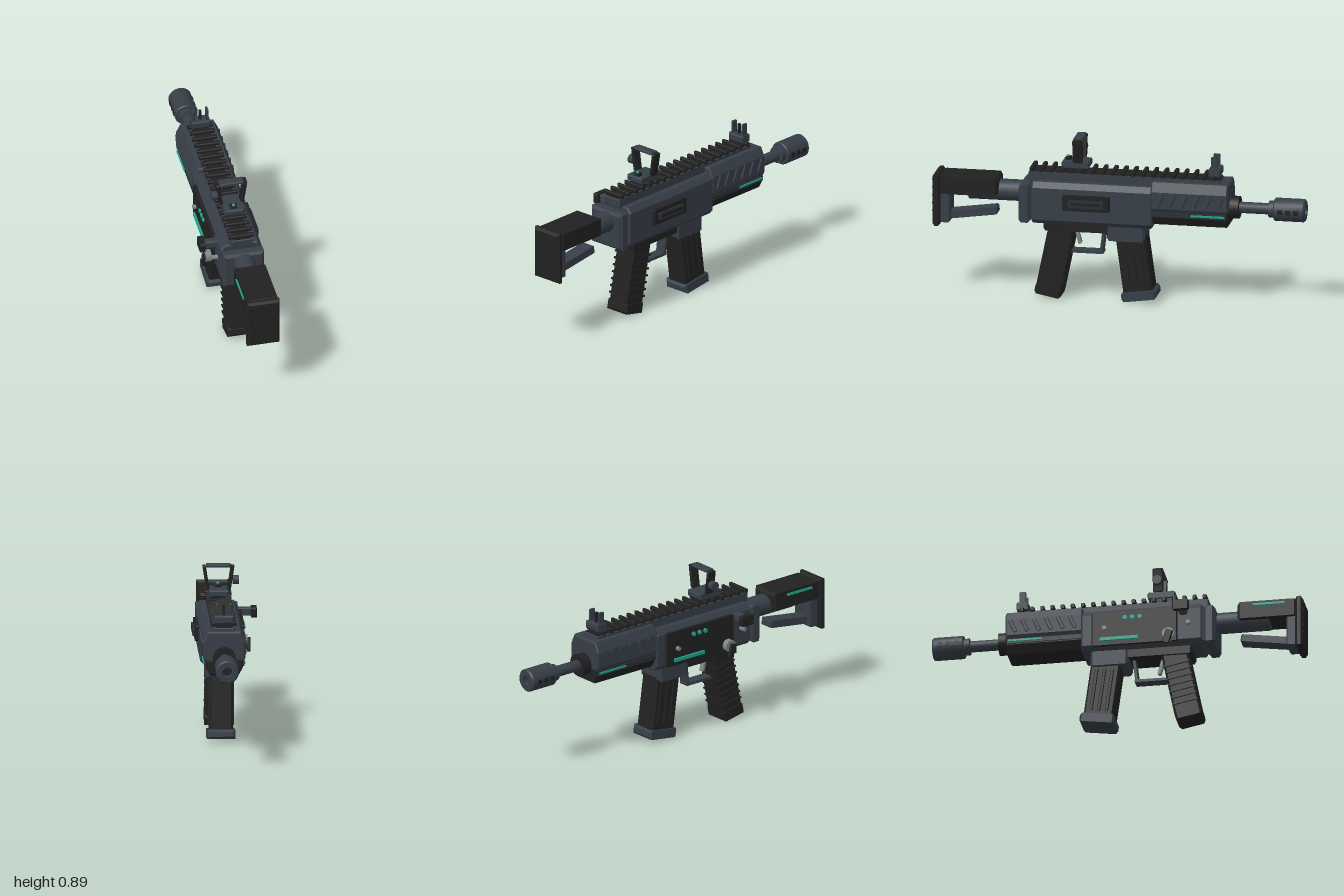
import * as THREE from 'three';
import { toCreasedNormals } from 'three/addons/utils/BufferGeometryUtils.js';

const paint = (name, color) => Object.assign(new THREE.MeshStandardMaterial({ color }), { name });

export function createModel() {
  const steel = paint('gunmetal', 0x373e47);
  const black = paint('black polymer', 0x212121);
  const dark = paint('dark steel', 0x2a3037);
  const silver = paint('light metal', 0x7c8686);
  const teal = paint('teal glow', 0x1fa58c);

  const model = new THREE.Group();
  model.name = 'rifle';
  const body = new THREE.Group();
  body.name = 'rifleBody';
  body.position.x = 0.033;
  model.add(body);

  const add = (name, geo, mat, x = 0, y = 0, z = 0, parent = body) => {
    const m = new THREE.Mesh(geo, mat);
    m.name = name;
    m.position.set(x, y, z);
    parent.add(m);
    return m;
  };
  // Outline in x and y, swept along z with chamfered ends
  const prism = (pts, z0, z1, b = 0.008) => {
    const shape = new THREE.Shape(pts.map(([x, y]) => new THREE.Vector2(x, y)));
    const g = new THREE.ExtrudeGeometry(shape, {
      depth: z1 - z0 - 2 * b, bevelEnabled: b > 0, bevelSize: b, bevelOffset: -b, bevelThickness: b, bevelSegments: 1,
    });
    return g.translate(0, 0, z0 + b);
  };
  const rect = (w, h) => [[-w / 2, -h / 2], [w / 2, -h / 2], [w / 2, h / 2], [-w / 2, h / 2]];
  const block = (w, h, d, b = 0.008) => (b ? prism(rect(w, h), -d / 2, d / 2, b) : new THREE.BoxGeometry(w, h, d));
  // Box given by its width, y range and z range
  const span = (name, mat, w, [y0, y1], [z0, z1], b, x = 0) =>
    add(name, block(w, y1 - y0, z1 - z0, b), mat, x, (y0 + y1) / 2, (z0 + z1) / 2);
  const rodX = (name, mat, r, x0, x1, y, z, sides = 12) =>
    add(name, new THREE.CylinderGeometry(r, r, x1 - x0, sides).rotateZ(Math.PI / 2), mat, (x0 + x1) / 2, y, z);
  const rodZ = (name, mat, r, z0, z1, y) =>
    add(name, new THREE.CylinderGeometry(r, r, z1 - z0, 20).rotateX(Math.PI / 2), mat, 0, y, (z0 + z1) / 2);
  // Symmetrical outline from its right half, listed upward
  const mirrored = (half) => [...half, ...half.map(([x, y]) => [-x, y]).reverse()];

  // Receiver
  add('receiver', prism(mirrored([[0.09, 0.432], [0.112, 0.455], [0.112, 0.63], [0.09, 0.66]]), -0.19, 0.46), steel);
  span('receiverEndPlate', steel, 0.222, [0.435, 0.64], [0.465, 0.53], 0.014);
  span('receiverJoint', dark, 0.18, [0.45, 0.63], [0.45, 0.47], 0);
  span('lowerReceiver', black, 0.15, [0.388, 0.436], [-0.055, 0.4], 0.01);
  span('magazineWell', steel, 0.165, [0.35, 0.44], [-0.145, 0.06], 0.014);

  // Ejection port on the left side
  span('portFrame', black, 0.022, [0.518, 0.602], [0.035, 0.29], 0.007, 0.12);
  span('portCover', dark, 0.016, [0.54, 0.58], [0.065, 0.26], 0.006, 0.134);
  span('portSlot', black, 0.006, [0.552, 0.568], [0.085, 0.24], 0, 0.1395);

  // Control panel on the right side
  span('controlPanel', black, 0.018, [0.445, 0.635], [-0.13, 0.33], 0.005, -0.117);
  span('panelLight', teal, 0.012, [0.468, 0.486], [-0.085, 0.12], 0, -0.131);
  for (let i = 0; i < 3; i++) rodX('panelDot', teal, 0.012, -0.136, -0.125, 0.595, 0.05 + i * 0.04);
  rodX('panelPin', silver, 0.012, -0.144, -0.11, 0.54, -0.06);
  rodX('panelPin', silver, 0.012, -0.144, -0.11, 0.54, 0.39);
  rodX('selectorHub', silver, 0.033, -0.157, -0.11, 0.475, 0.285, 16);
  add('selectorLever', block(0.016, 0.075, 0.04, 0.005), black, -0.164, 0.452, 0.285).rotation.x = 0.3;
  span('chargingRod', steel, 0.09, [0.594, 0.637], [0.34, 0.382], 0.006, -0.145);
  span('chargingKnob', black, 0.03, [0.588, 0.642], [0.315, 0.405], 0.008, -0.193);

  // Handguard with slanted ribs
  add('upperHandguard', prism(mirrored([[0.1, 0.53], [0.112, 0.55], [0.112, 0.64], [0.088, 0.69]]), -0.597, -0.182), steel);
  add('lowerHandguard', prism(mirrored([[0.075, 0.455], [0.1, 0.5], [0.1, 0.54]]), -0.595, -0.185), black);
  for (const s of [-1, 1]) {
    span('handguardLedge', dark, 0.012, [0.505, 0.53], [-0.585, -0.19], 0, s * 0.1);
    span('handguardLight', teal, 0.008, [0.514, 0.524], [-0.58, -0.4], 0, s * 0.108);
    for (let i = 0; i < 6; i++)
      add('handguardRib', block(0.012, 0.075, 0.022, 0.004), steel, s * 0.114, 0.6, -0.235 - i * 0.064).rotation.x = -0.4;
  }

  // Top rail
  span('topRail', steel, 0.115, [0.655, 0.703], [-0.55, 0.485], 0.005);
  span('railCore', black, 0.09, [0.7, 0.712], [-0.545, 0.48], 0);
  for (let i = 0; i < 19; i++) {
    const z = 0.467 - i * 0.0545;
    span('railTooth', black, 0.135, [0.707, 0.728], [z - 0.011, z + 0.011], 0.004);
  }

  // Rear sight: base, flared frame, adjuster and dot
  span('rearSightBase', steel, 0.105, [0.733, 0.766], [0.158, 0.307], 0.006);
  span('rearSightClamp', black, 0.08, [0.7, 0.736], [0.175, 0.29], 0);
  span('rearSightTopBar', steel, 0.13, [0.884, 0.9], [0.192, 0.243], 0.005);
  for (const s of [-1, 1])
    add('rearSightPost', block(0.018, 0.128, 0.055, 0.005), black, s * 0.066, 0.829, 0.217).rotation.z = -s * 0.15;
  rodX('sightAdjuster', steel, 0.025, -0.108, -0.076, 0.815, 0.217, 16);
  span('emitterBlock', black, 0.036, [0.764, 0.784], [0.262, 0.292], 0.004);
  add('emitterDot', new THREE.SphereGeometry(0.009, 12, 8), teal, 0, 0.784, 0.28);

  // Front sight: base, two ears and the centre post
  span('frontSightBase', steel, 0.1, [0.725, 0.765], [-0.548, -0.482], 0.006);
  for (const s of [-1, 1]) span('frontSightEar', steel, 0.012, [0.76, 0.828], [-0.532, -0.496], 0.003, s * 0.037);
  span('frontSightPost', black, 0.013, [0.76, 0.82], [-0.522, -0.506], 0);

  // Barrel and muzzle with bore
  rodZ('barrelCollar', black, 0.06, -0.645, -0.59, 0.55);
  rodZ('barrel', steel, 0.03, -0.83, -0.64, 0.55);
  const profile = [[0.03, 0.8], [0.045, 0.803], [0.045, 0.832], [0.057, 0.832], [0.062, 0.838], [0.062, 0.992],
    [0.054, 1], [0.026, 1], [0.026, 0.95], [0, 0.95]].map(([r, d]) => new THREE.Vector2(r, d));
  const muzzleGeo = toCreasedNormals(new THREE.LatheGeometry(profile, 20), 0.5).rotateX(-Math.PI / 2);
  add('muzzle', muzzleGeo, steel, 0, 0.55, 0);
  add('muzzleBore', new THREE.CircleGeometry(0.026, 20).rotateY(Math.PI), black, 0, 0.55, -0.952);
  for (const s of [-1, 1])
    for (let i = 0; i < 3; i++) {
      const z = -0.868 - i * 0.043;
      span('muzzleVent', black, 0.008, [0.538, 0.562], [z - 0.013, z + 0.013], 0, s * 0.06);
    }

  // Stock
  rodZ('stockTube', steel, 0.057, 0.51, 0.81, 0.58);
  span('cheekRest', black, 0.17, [0.562, 0.657], [0.645, 0.965], 0.014);
  span('stockLight', teal, 0.008, [0.63, 0.642], [0.73, 0.9], 0, -0.088);
  span('stockUpright', steel, 0.13, [0.4, 0.57], [0.905, 0.965], 0.008);
  span('buttPad', black, 0.178, [0.385, 0.667], [0.955, 0.997], 0.012);
  for (let i = 0; i < 5; i++) {
    const y = 0.636 - i * 0.043;
    span('buttPadRib', black, 0.14, [y - 0.004, y + 0.004], [0.995, 1], 0);
  }
  add('stockStrut', block(0.08, 0.04, 0.26, 0.006), steel, 0, 0.453, 0.785).rotation.x = 0.14;

  // Pistol grip, leaning back
  const grip = new THREE.Group();
  grip.name = 'pistolGrip';
  grip.position.set(0, 0.225, 0.34);
  grip.rotation.x = -0.2;
  body.add(grip);
  add('gripCore', block(0.122, 0.37, 0.145, 0.012), black, 0, 0, 0, grip);
  add('gripBase', block(0.14, 0.055, 0.145, 0.012), black, 0, -0.178, 0.002, grip);
  for (let i = 0; i < 7; i++) add('gripRib', block(0.138, 0.01, 0.135, 0), black, 0, -0.115 + i * 0.038, 0, grip);

  // Magazine, leaning forward
  const magazine = new THREE.Group();
  magazine.name = 'magazine';
  magazine.position.set(0, 0.2, -0.088);
  magazine.rotation.x = 0.137;
  body.add(magazine);
  add('magazineShell', block(0.125, 0.35, 0.16, 0.01), black, 0, 0.01, 0, magazine);
  add('magazineBase', block(0.148, 0.05, 0.19, 0.012), steel, 0, -0.152, -0.002, magazine);
  for (const s of [-1, 1])
    for (let i = -1; i <= 1; i++)
      add('magazineRib', block(0.012, 0.24, 0.018, 0.003), black, s * 0.063, 0.015, i * 0.042, magazine);

  // Trigger and guard
  span('triggerGuard', steel, 0.06, [0.26, 0.275], [0.085, 0.27], 0.003);
  add('triggerGuardPost', block(0.06, 0.13, 0.018, 0.003), steel, 0, 0.327, 0.09).rotation.x = -0.13;
  add('trigger', block(0.03, 0.09, 0.02, 0.004), silver, 0, 0.35, 0.225).rotation.x = 0.25;

  return model;
}
